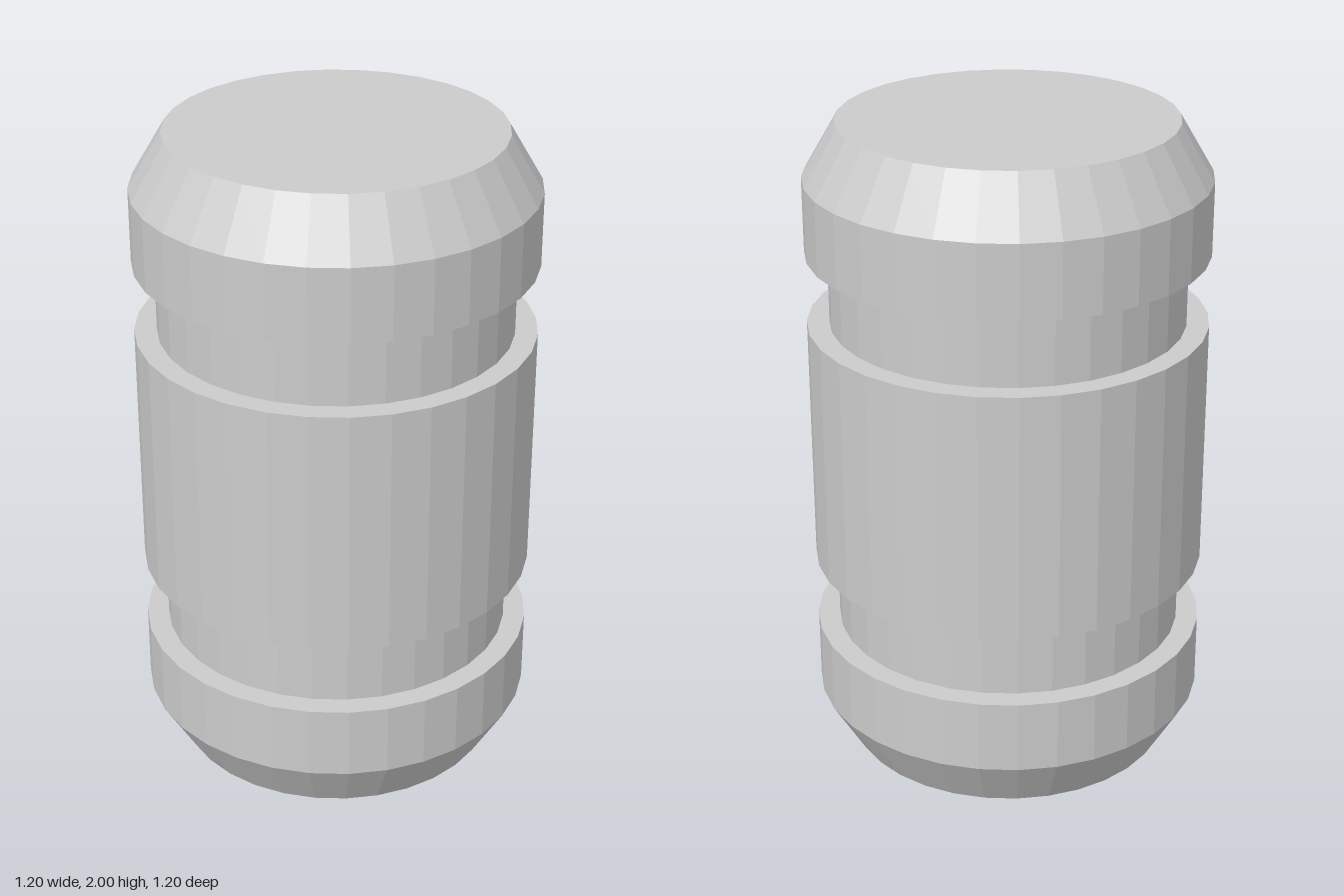
import * as THREE from 'three';

const SIDES = 32;
const HEIGHT = 2;

export function createModel() {
  const model = new THREE.Group();
  model.name = 'groovedPin';

  // Lower half of the profile: end cap, chamfer, rim, groove, barrel
  const lower = [
    [0, 0],
    [0.5, 0],
    [0.6, 0.17],
    [0.6, 0.395],
    [0.533, 0.395],
    [0.533, 0.617],
    [0.6, 0.617],
  ];
  // Upper half mirrors the lower one
  const upper = lower.map(([r, y]) => [r, HEIGHT - y]).reverse();
  const profile = [...lower, ...upper].map(([r, y]) => new THREE.Vector2(r, y));

  // Faceted turned body
  const body = new THREE.Mesh(
    new THREE.LatheGeometry(profile, SIDES),
    new THREE.MeshStandardMaterial({ color: 0xcccccc, flatShading: true })
  );
  body.name = 'turnedBody';
  model.add(body);

  return model;
}
